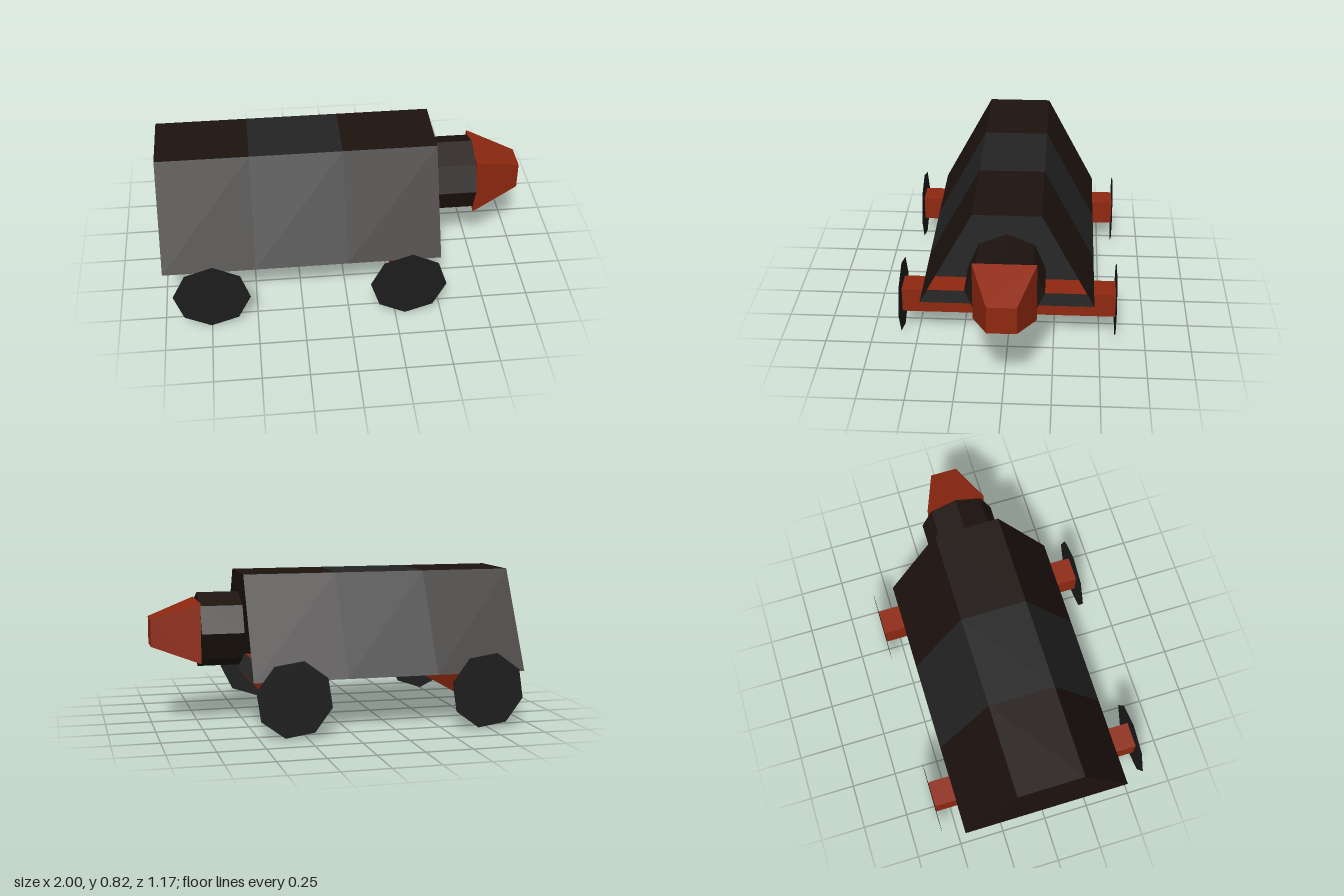
import * as THREE from 'three';

const mat = (color, side = THREE.FrontSide) =>
  new THREE.MeshStandardMaterial({ color, side, flatShading: true });

const rust = mat(0x8f2810);
const darkBrown = mat(0x1d130f, THREE.DoubleSide);
const grey = mat(0x232323, THREE.DoubleSide);
const wheelGrey = mat(0x1c1c1c, THREE.DoubleSide);

// Hull section as [z, y]: front foot, front shoulder, back shoulder, back foot
const SECTION = [[0.47, 0.28], [0.18, 0.82], [-0.18, 0.82], [-0.465, 0.28]];

function quads(list) {
  const pos = [];
  for (const [a, b, c, d] of list) pos.push(...a, ...b, ...c, ...a, ...c, ...d);
  const g = new THREE.BufferGeometry();
  g.setAttribute('position', new THREE.Float32BufferAttribute(pos, 3));
  g.computeVertexNormals();
  return g;
}

// Sloping sides and roof between two x positions
function shell(x0, x1) {
  const list = [];
  for (let i = 0; i < 3; i++) {
    const [za, ya] = SECTION[i], [zb, yb] = SECTION[i + 1];
    list.push([[x0, ya, za], [x1, ya, za], [x1, yb, zb], [x0, yb, zb]]);
  }
  return quads(list);
}

export function createModel() {
  const model = new THREE.Group();
  const add = (name, geometry, material, x = 0, y = 0, z = 0) => {
    const m = new THREE.Mesh(geometry, material);
    m.name = name;
    m.position.set(x, y, z);
    model.add(m);
    return m;
  };

  // Hull in three bands, closed at the rear and open at the nose end
  add('rearHull', shell(-1, -0.5), darkBrown);
  add('middleHull', shell(-0.5, 0), grey);
  add('frontHull', shell(0, 0.51), darkBrown);
  add('rearPanel', quads([SECTION.map(([z, y]) => [-1, y, z])]), darkBrown);
  const [f, , , b] = SECTION;
  add('floor', quads([[
    [-1, f[1], f[0]], [-1, b[1], b[0]], [0.51, b[1], b[0]], [0.51, f[1], f[0]],
  ]]), grey);

  // Octagonal neck and square tapered nose
  const neck = new THREE.CylinderGeometry(0.205, 0.205, 0.23, 8).rotateZ(-Math.PI / 2);
  add('neck', neck, darkBrown, 0.625, 0.507, 0);
  const nose = new THREE.CylinderGeometry(0.075 * Math.SQRT2, 0.165 * Math.SQRT2, 0.26, 4)
    .rotateY(Math.PI / 4).rotateZ(-Math.PI / 2);
  add('nose', nose, rust, 0.87, 0.505, 0);

  // Axles with a flat octagonal wheel on each end
  for (const [end, x] of [['rear', -0.74], ['front', 0.318]]) {
    add(end + 'Axle', new THREE.BoxGeometry(0.14, 0.142, 1.166), rust, x, 0.211, 0);
    for (const [side, sign, turn] of [['Right', 1, -4], ['Left', -1, 14]]) {
      const disc = new THREE.CircleGeometry(0.207, 8);
      disc.rotateZ(THREE.MathUtils.degToRad(turn));
      if (sign < 0) disc.rotateY(Math.PI).scale(1, 1, 1);
      const wheel = add(end + side + 'Wheel', disc, wheelGrey, x, 0.207, 0.585 * sign);
      if (sign < 0) wheel.rotation.z = THREE.MathUtils.degToRad(2 * turn);
    }
  }
  return model;
}
